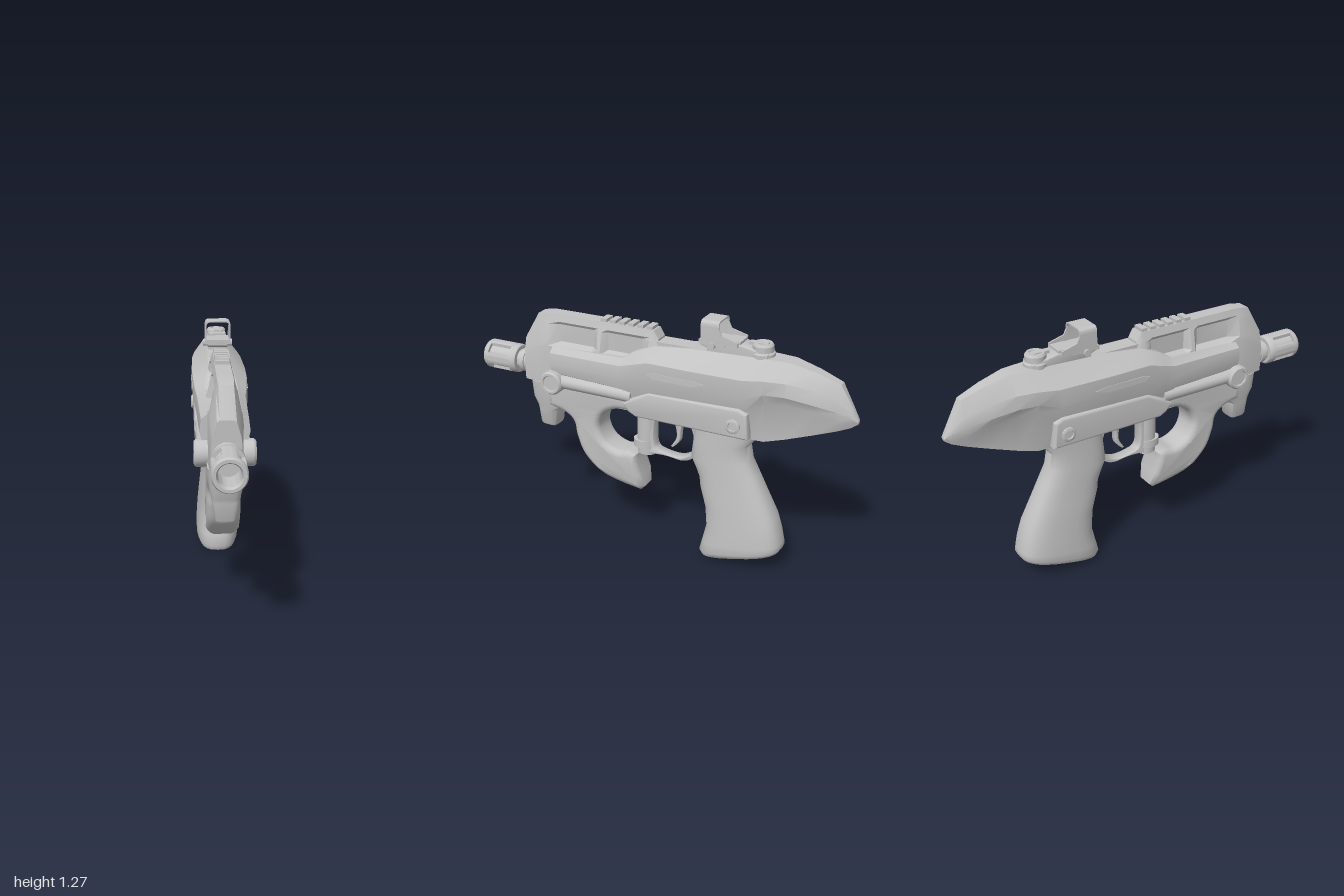
import * as THREE from 'three';
import { toCreasedNormals } from 'three/addons/utils/BufferGeometryUtils.js';

export function createModel() {
  const root = new THREE.Group();
  const grey = new THREE.MeshStandardMaterial({ color: 0xc2c2c2 });
  grey.name = 'grey';

  function add(name, geo, x = 0, y = 0, z = 0, crease = 0.6) {
    const mesh = new THREE.Mesh(toCreasedNormals(geo, crease), grey);
    mesh.name = name;
    mesh.position.set(x, y, z);
    root.add(mesh);
    return mesh;
  }
  const box = (name, w, h, d, x, y, z) => add(name, new THREE.BoxGeometry(w, h, d), x, y, z);

  // Skin a list of closed rings of [x, y, z] and cap both ends
  function loft(rings) {
    const n = rings[0].length, m = rings.length;
    const pos = rings.flat(2), idx = [];
    for (let i = 0; i < m - 1; i++) for (let j = 0; j < n; j++) {
      const a = i * n + j, b = i * n + (j + 1) % n;
      idx.push(a, b, a + n, b, b + n, a + n);
    }
    [0, m - 1].forEach((r, k) => {
      const c = [0, 1, 2].map(d => rings[r].reduce((s, p) => s + p[d], 0) / n);
      pos.push(...c);
      for (let j = 0; j < n; j++) {
        const a = r * n + j, b = r * n + (j + 1) % n;
        idx.push(...(k ? [m * n + 1, a, b] : [m * n, b, a]));
      }
    });
    // Turn the faces outward if the rings run the other way
    const P = i => new THREE.Vector3(pos[i * 3], pos[i * 3 + 1], pos[i * 3 + 2]);
    let volume = 0;
    for (let i = 0; i < idx.length; i += 3) volume += P(idx[i]).dot(P(idx[i + 1]).cross(P(idx[i + 2])));
    if (volume < 0) idx.reverse();
    const g = new THREE.BufferGeometry();
    g.setAttribute('position', new THREE.Float32BufferAttribute(pos, 3));
    g.setIndex(idx);
    return g;
  }
  // Symmetric ring across x from its left half, listed top to bottom
  const mirrorRing = (z, half) => [
    ...half.map(([x, y]) => [x, y, z]),
    ...half.slice().reverse().map(([x, y]) => [-x, y, z]),
  ];

  // Side profile in (z, y), given thickness across x
  function sideGeo(shape, halfWidth, bevel) {
    const g = new THREE.ExtrudeGeometry(shape, {
      depth: 2 * (halfWidth - bevel), bevelEnabled: bevel > 0, bevelThickness: bevel,
      bevelSize: bevel, bevelOffset: -bevel, bevelSegments: 5, curveSegments: 20,
    });
    g.translate(0, 0, bevel - halfWidth);
    return g.rotateY(-Math.PI / 2);
  }
  const spline = pts => pts.map(p => new THREE.Vector2(...p));
  const poly = pts => new THREE.Shape(spline(pts));

  // Main shell, tapering to the rear with a hollow under each shoulder
  add('mainShell', loft([
    [0.56, [[.075, 1.01], [.105, .985], [.112, .93], [.1, .88], [.07, .86]]],
    [0.16, [[.08, 1.02], [.115, .99], [.122, .93], [.11, .87], [.07, .84]]],
    [0.10, [[.07, 1.06], [.125, 1.01], [.13, .95], [.112, .86], [.08, .76]]],
    [0.00, [[.055, 1.10], [.132, 1.04], [.134, .96], [.112, .86], [.08, .73]]],
    [-.20, [[.055, 1.12], [.136, 1.04], [.136, .96], [.112, .87], [.08, .73]]],
    [-.48, [[.055, 1.13], [.13, 1.04], [.13, .95], [.108, .87], [.08, .73]]],
    [-.58, [[.05, 1.132], [.116, 1.05], [.119, .985], [.092, .93], [.076, .73]]],
    [-.68, [[.042, 1.13], [.1, 1.05], [.106, .985], [.08, .935], [.068, .76]]],
    [-.80, [[.03, 1.10], [.078, 1.03], [.086, .965], [.068, .925], [.052, .80]]],
    [-.91, [[.02, 1.06], [.052, .99], [.058, .94], [.052, .89], [.035, .838]]],
    [-.97, [[.012, .955], [.028, .935], [.034, .915], [.03, .89], [.018, .86]]],
    [-1.0, [[.005, .9], [.014, .895], [.016, .89], [.014, .885], [.006, .88]]],
  ].map(s => mirrorRing(...s))), 0, 0, 0, 0.5);
  box('lowerReceiver', .14, .16, 1.1, 0, .82, .05);
  box('rearTopBlock', .09, .05, .2, 0, 1.095, -.1);

  // Top cover with pockets pressed into its sides
  const cover = (z, mx) => mirrorRing(z, [[.036, 1.17], [.046, 1.135], [mx, 1.12],
    [mx === .036 ? mx : .07, 1.03], [.076, 1.01], [.076, .8]]);
  add('topCover', loft([
    mirrorRing(.74, [[.03, 1.03], [.042, 1.02], [.048, 1], [.06, .96], [.066, .92], [.066, .8]]),
    mirrorRing(.66, [[.033, 1.16], [.043, 1.125], [.05, 1.1], [.068, 1.02], [.075, .99], [.075, .8]]),
    ...[[.59, .052], [.53, .036], [.34, .036], [.31, .052], [.29, .052], [.26, .036],
      [.07, .036], [.03, .052], [.01, .052]].map(s => cover(...s)),
    mirrorRing(-.015, [[.034, 1.13], [.044, 1.11], [.05, 1.1], [.068, 1.02], [.075, 1], [.075, .8]]),
  ]), 0, 0, 0, 0.45);
  for (let i = 0; i < 6; i++) box('railTooth', .066, .025, .032, 0, 1.173, .285 - i * .05);

  // Barrel and muzzle with four slots
  const lathe = (pts) => new THREE.LatheGeometry(spline(pts), 32).rotateX(Math.PI / 2);
  add('barrel', lathe([[.001, .6], [.066, .6], [.066, .735], [.055, .745], [.055, .775], [.001, .775]]), 0, .875);
  add('muzzleCollar', lathe([[.045, .76], [.062, .76], [.062, .785], [.05, .79], [.05, .805], [.07, .805],
    [.076, .815], [.076, .845], [.045, .845]]), 0, .875);
  const slotted = new THREE.Shape();
  for (let i = 0; i < 72; i++) {
    const a = (i * 5 + 27.5) * Math.PI / 180, r = i % 18 < 8 ? .06 : .076;
    slotted[i ? 'lineTo' : 'moveTo'](r * Math.cos(a), r * Math.sin(a));
  }
  slotted.holes.push(new THREE.Path().absarc(0, 0, .05, 0, Math.PI * 2, true));
  add('muzzleSlots', new THREE.ExtrudeGeometry(slotted, { depth: .135, bevelEnabled: false, curveSegments: 24 }), 0, .875, .84);
  add('muzzleRim', lathe([[.05, .97], [.076, .97], [.076, .99], [.07, 1], [.056, 1], [.05, .99], [.05, .97]]), 0, .875);
  add('boreFloor', new THREE.CircleGeometry(.052, 24), 0, .875, .86);

  // Parts repeated on both sides
  const panel = poly([[.14, .8], [.1, .83], [0, .88], [-.47, .892], [-.51, .87], [-.52, .74], [.07, .74], [.11, .76]]);
  const strip = poly([[0, .985], [-.03, .965], [-.24, .965], [-.3, .985], [-.24, .995], [-.03, .995]]);
  for (const s of [-1, 1]) {
    add('sidePanel', sideGeo(panel, .03, .015), s * .097);
    add('sideStrip', sideGeo(strip, .004, 0), s * .134);
    add('sideRod', new THREE.CylinderGeometry(.036, .036, .42, 20).rotateX(Math.PI / 2), s * .088, .835, .31);
    const knob = [[0, 0], [.062, 0], [.062, .052], [.054, .062], [.042, .062], [.038, .056], [0, .056]];
    add('frontKnob', new THREE.LatheGeometry(spline(knob), 28).rotateZ(-s * Math.PI / 2), s * .075, .83, .55);
    const pin = [[0, 0], [.036, 0], [.036, .014], [.03, .018], [.022, .018], [.02, .012], [0, .012]];
    add('pivotPin', new THREE.LatheGeometry(spline(pin), 24).rotateZ(-s * Math.PI / 2), s * .12, .803, -.445);
    add('sightScrew', new THREE.CylinderGeometry(.018, .018, .03, 16).rotateZ(Math.PI / 2), s * .06, 1.155, -.3);
  }

  // Rounded ring between a front and a back point, squared by a power
  const roundRing = (f, b, hw, power = .7) => Array.from({ length: 28 }, (_, i) => {
    const a = i / 28 * Math.PI * 2, q = v => Math.sign(v) * Math.abs(v) ** power;
    const t = (1 - q(Math.cos(a))) / 2;
    return [hw * q(Math.sin(a)), f[1] + (b[1] - f[1]) * t, f[0] + (b[0] - f[0]) * t];
  });

  // Rear grip
  add('rearGrip', loft([
    [[-.2, .78], [-.56, .78], .075], [[-.205, .72], [-.535, .715], .076], [[-.2, .64], [-.49, .66], .076],
    [[-.19, .55], [-.505, .58], .079], [[-.22, .49], [-.54, .51], .083], [[-.237, .45], [-.57, .45], .086],
    [[-.243, .4], [-.6, .39], .091], [[-.275, .29], [-.645, .3], .1], [[-.285, .18], [-.67, .22], .108],
    [[-.265, .09], [-.683, .16], .113], [[-.25, .03], [-.687, .135], .114], [[-.262, .005], [-.675, .115], .106],
    [[-.29, 0], [-.65, .103], .088],
  ].map(r => roundRing(...r))), 0, 0, 0, 0.8);

  // Front horn below the barrel
  add('frontHorn', loft([
    [[.715, .8], [.5, .8], .082], [[.71, .71], [.5, .72], .076], [[.69, .66], [.53, .665], .066],
    [[.685, .64], [.575, .64], .062], [[.682, .56], [.583, .555], .05], [[.675, .548], [.59, .545], .045],
  ].map(r => roundRing(...r, .45))), 0, 0, 0, 0.6);

  // Hooked foregrip, narrowing at its lower edge
  const fore = new THREE.Shape();
  fore.moveTo(.64, .83);
  fore.lineTo(.6, .67);
  fore.splineThru(spline([[.515, .652], [.462, .61], [.445, .53], [.4, .43], [.29, .335], [.17, .298]]));
  [[.085, .285], [.062, .31], [.075, .38], [.1, .45], [.1, .495], [.15, .508]].forEach(p => fore.lineTo(...p));
  fore.splineThru(spline([[.21, .5], [.28, .535], [.313, .61], [.285, .685], [.21, .728], [.12, .732]]));
  [[.02, .735], [.02, .82], [.2, .83]].forEach(p => fore.lineTo(...p));
  const foreGeo = sideGeo(fore, .08, .034), fp = foreGeo.attributes.position;
  for (let i = 0; i < fp.count; i++) {
    fp.setX(i, fp.getX(i) * THREE.MathUtils.clamp(.65 + (fp.getY(i) - .285) * 4, .65, 1));
  }
  add('foregrip', foreGeo, 0, 0, 0, 0.8);

  // Slim column closing the thumb hole, with a band
  const column = (r, h) => new THREE.CylinderGeometry(r, r, h, 24).scale(.8, 1, 1);
  add('gripColumn', column(.05, .26), 0, .625, .068);
  add('columnBand', column(.06, .04), 0, .55, .078);

  // Trigger guard and trigger
  const guard = new THREE.Shape();
  guard.moveTo(.1, .75);
  guard.lineTo(.1, .5);
  guard.splineThru(spline([[-.05, .51], [-.14, .503], [-.2, .53], [-.24, .6]]));
  guard.lineTo(-.24, .75);
  const opening = new THREE.Path();
  opening.moveTo(-.18, .72);
  opening.splineThru(spline([[-.205, .64], [-.19, .56], [-.13, .518], [-.04, .522], [.01, .55], [.016, .65], [0, .72]]));
  guard.holes.push(opening);
  add('triggerGuard', sideGeo(guard, .03, .004), 0, 0, 0, 0.8);
  const trigger = new THREE.Shape();
  trigger.moveTo(-.08, .74);
  trigger.splineThru(spline([[-.1, .68], [-.105, .62], [-.075, .565]]));
  trigger.lineTo(-.085, .56);
  trigger.splineThru(spline([[-.12, .6], [-.128, .66], [-.145, .74]]));
  add('trigger', sideGeo(trigger, .018, .004), 0, 0, 0, 0.8);

  // Reflex sight: base, hollow hood, sloping cheeks and rear dial
  add('sightBase', sideGeo(poly([[-.235, 1.175], [-.235, 1.15], [-.27, 1.135], [-.27, 1.1], [-.57, 1.1],
    [-.57, 1.15], [-.44, 1.175]]), .05, .006));
  box('sightPlate', .13, .022, .13, 0, 1.168, -.3);
  const roundRect = (S, w, y0, y1, r) => {
    const s = new S();
    s.moveTo(-w, y0); s.lineTo(w, y0); s.lineTo(w, y1 - r);
    s.quadraticCurveTo(w, y1, w - r, y1); s.lineTo(r - w, y1);
    s.quadraticCurveTo(-w, y1, -w, y1 - r); s.lineTo(-w, y0);
    return s;
  };
  const hood = roundRect(THREE.Shape, .065, 1.165, 1.273, .025);
  hood.holes.push(roundRect(THREE.Path, .058, 1.175, 1.266, .02));
  add('sightHood', new THREE.ExtrudeGeometry(hood, { depth: .09, bevelEnabled: false }), 0, 0, -.335);
  const cheek = poly([[-.33, 1.25], [-.35, 1.21], [-.43, 1.188], [-.43, 1.165], [-.33, 1.165]]);
  for (const s of [-1, 1]) add('sightCheek', sideGeo(cheek, .004, 0), s * .061);
  box('sightRearBlock', .09, .03, .07, 0, 1.172, -.4);
  add('sightDial', new THREE.LatheGeometry(spline([[0, 1.1], [.058, 1.1], [.058, 1.145], [.05, 1.152], [.05, 1.18],
    [.043, 1.19], [.03, 1.19], [.027, 1.184], [0, 1.184]]), 28), 0, 0, -.53);
  box('dialSlot', .03, .014, .09, 0, 1.182, -.51);

  return root;
}
